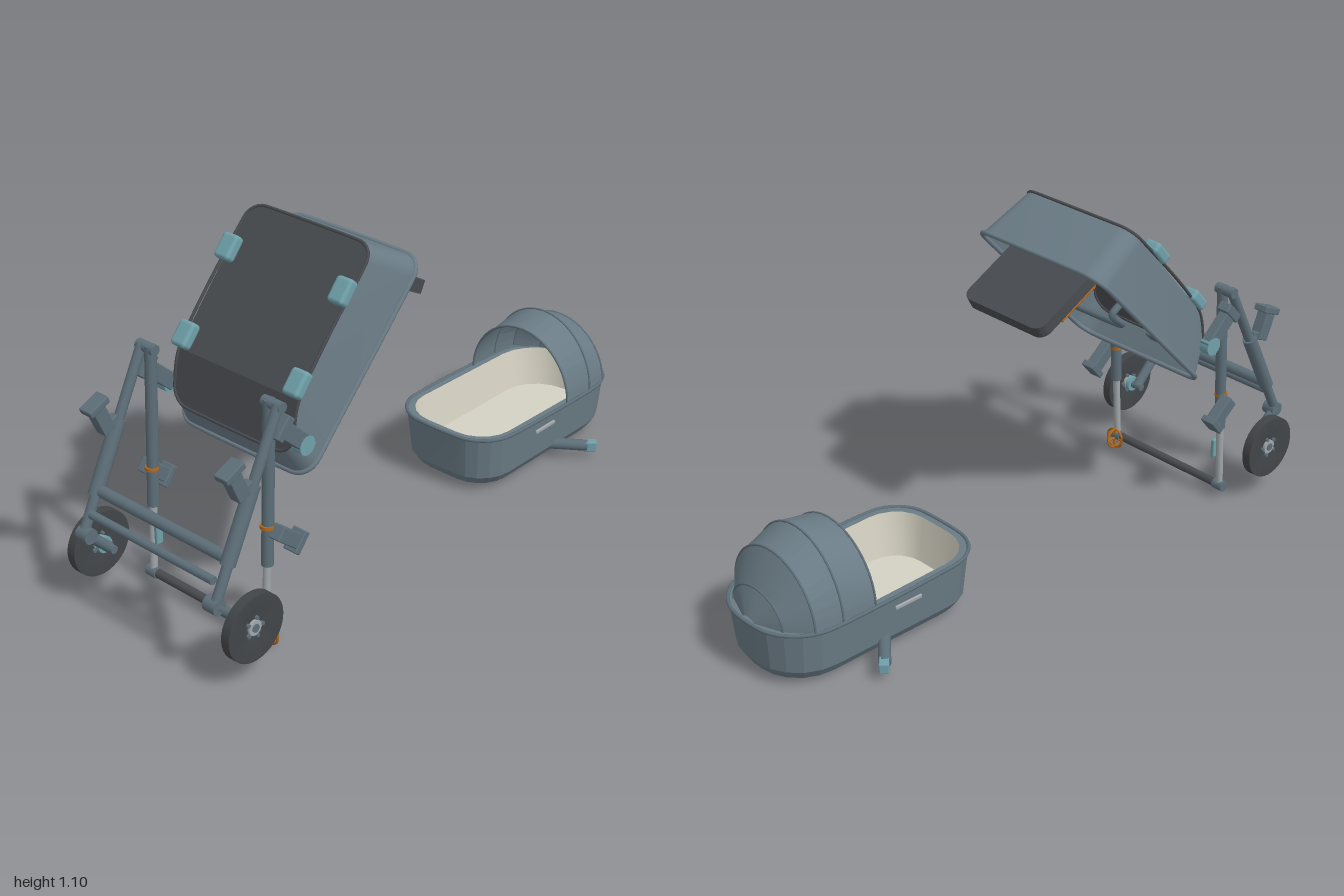
import * as THREE from 'three';
import { toCreasedNormals } from 'three/addons/utils/BufferGeometryUtils.js';
import { RoundedBoxGeometry } from 'three/addons/geometries/RoundedBoxGeometry.js';

const V = (x, y, z) => new THREE.Vector3(x, y, z);
const mat = (name, color) => {
  const m = new THREE.MeshStandardMaterial({ color, side: THREE.DoubleSide });
  m.name = name;
  return m;
};

// Half outline of a rounded plan: [position, halfWidth] pairs from end a to end b
function outline(a, b, half, ra, rb, n = 7, extra = []) {
  const pts = [];
  for (let i = 0; i <= n; i++) {
    const t = (i / n) * Math.PI / 2;
    pts.push([a + ra * (1 - Math.cos(t)), half - ra + ra * Math.sin(t)]);
  }
  for (const e of extra) pts.push([e, half]);
  for (let i = 0; i <= n; i++) {
    const t = (i / n) * Math.PI / 2;
    pts.push([b - rb + rb * Math.sin(t), half - rb + rb * Math.cos(t)]);
  }
  return pts;
}
// Full loop of points: along the +z side, back along the -z side
const loop = (half, place) => [
  ...half.map(([p, w]) => place(p, w)),
  ...half.slice().reverse().map(([p, w]) => place(p, -w)),
];

// Surface through rows of points
function loft(rows, closed = true, crease = 0.6) {
  const n = rows[0].length, pos = [], idx = [];
  rows.forEach((r) => r.forEach((p) => pos.push(p.x, p.y, p.z)));
  for (let j = 0; j < rows.length - 1; j++) {
    for (let i = 0; i < (closed ? n : n - 1); i++) {
      const k = (i + 1) % n, a = j * n + i, b = j * n + k;
      idx.push(a, b, a + n, b, b + n, a + n);
    }
  }
  const g = new THREE.BufferGeometry();
  g.setAttribute('position', new THREE.Float32BufferAttribute(pos, 3));
  g.setIndex(idx);
  return toCreasedNormals(g, crease);
}
// Cap that joins the two mirrored sides of a loop
const cap = (pts) => {
  const h = pts.length / 2;
  return loft([pts.slice(0, h), pts.slice(h).reverse()], false, 0.3);
};

export function createModel() {
  const fabric = mat('slate fabric', 0x6a7b85);
  const frame = mat('frame grey', 0x5d6e78);
  const dark = mat('dark fabric', 0x484b4f);
  const tyre = mat('tyre black', 0x424548);
  const cream = mat('cream lining', 0xd4d1c2);
  const teal = mat('teal clips', 0x6f9fa9);
  const orange = mat('orange accents', 0xb5691c);
  const silver = mat('silver metal', 0xa0a6aa);

  const model = new THREE.Group();
  const group = (name) => {
    const g = new THREE.Group();
    g.name = name;
    model.add(g);
    return g;
  };
  const add = (parent, name, geo, m) => {
    const mesh = new THREE.Mesh(geo, m);
    mesh.name = name;
    parent.add(mesh);
    return mesh;
  };
  const rod = (parent, name, a, b, r, m) => {
    const d = b.clone().sub(a);
    const mesh = add(parent, name, new THREE.CylinderGeometry(r, r, d.length(), 14), m);
    mesh.position.copy(a).addScaledVector(d, 0.5);
    mesh.quaternion.setFromUnitVectors(V(0, 1, 0), d.normalize());
  };
  const box = (parent, name, size, at, m, rz = 0, round = 0.004) => {
    const mesh = add(parent, name, new RoundedBoxGeometry(...size, 2, round), m);
    mesh.position.set(...at);
    mesh.rotation.z = rz;
    return mesh;
  };
  const tube = (parent, name, pts, r, m, closed = false, seg = 90) =>
    add(parent, name, new THREE.TubeGeometry(new THREE.CatmullRomCurve3(pts, closed, 'centripetal'), seg, r, 8, closed), m);

  // ---- Carrycot ----
  const cot = group('carrycot');
  const zc = 0.023;
  const rimY = (x) => 0.205 - 0.02 * (x - 0.245);
  const cotRing = (inset, y) => loop(
    outline(0.247 + inset, 0.996 - inset * 0.8, 0.207 - inset, 0.135 - inset * 0.6, 0.175 - inset * 0.7, 5),
    (x, w) => V(x, y ?? rimY(x), zc + w));
  const base = cotRing(0.04, 0.022);
  add(cot, 'cot body', loft([cotRing(0.004), cotRing(0.018, 0.055), base], true, 0.2), fabric);
  add(cot, 'cot base', cap(base), frame);
  add(cot, 'cot ledge', loft([cotRing(0.004), cotRing(0.028)]), fabric);
  const floor = cotRing(0.052, 0.06);
  add(cot, 'cot lining', loft([cotRing(0.028), floor]), cream);
  add(cot, 'cot mattress', cap(floor), cream);
  tube(cot, 'cot rim', cotRing(0.004), 0.006, frame, true, 140);

  // Hood arches: x, half width, top height
  const arches = [[0.68, 0.2, 0.402], [0.8, 0.203, 0.425], [0.89, 0.19, 0.382], [0.95, 0.118, 0.28], [0.984, 0.025, 0.2]]
    .map(([x, w, top]) => Array.from({ length: 19 }, (_, i) => {
      const t = (i / 18) * Math.PI;
      return V(x, 0.19 + (top - 0.19) * Math.sin(t), zc + w * Math.cos(t));
    }));
  add(cot, 'cot hood', loft(arches, false, 0.2), fabric);
  arches.slice(0, 4).forEach((a) => tube(cot, 'hood seam', a, 0.0035, frame, false, 48));

  // Carry handles and mounting arms
  for (const s of [-1, 1]) {
    box(cot, 'side handle', [0.1, 0.014, 0.008], [0.56, 0.155, zc + s * 0.202], silver);
    rod(cot, 'mounting arm', V(0.63, 0.052, zc + s * 0.17), V(0.71, 0.046, zc + s * 0.268), 0.019, frame);
    const clip = box(cot, 'mounting clip', [0.045, 0.034, 0.03], [0.717, 0.045, zc + s * 0.273], teal);
    clip.rotation.y = -s * 0.85;
  }

  // ---- Seat shell ----
  const seat = group('seat');
  const A = V(-0.29, 1.093, 0), B = V(-0.115, 1.0, 0), C = V(-0.597, 0.497, 0), D = V(-0.637, 0.575, 0), E = V(-0.6, 0.735, 0);
  const fold = 0.24;
  const seatHalf = (w, r) => outline(0, 0.7, w, r, r, 7, [fold * 0.7]).map(([p, q]) => [p / 0.7, q]);
  const rim = loop(seatHalf(0.262, 0.06), (t, w) => C.clone().lerp(B, t).setZ(w));
  const back = loop(seatHalf(0.238, 0.06), (t, w) =>
    (t < fold ? D.clone().lerp(E, t / fold) : E.clone().lerp(A, (t - fold) / (1 - fold))).setZ(w));
  add(seat, 'seat sides', loft([rim, back]), fabric);
  add(seat, 'seat back', cap(back), dark);
  tube(seat, 'seat rim', rim, 0.008, fabric, true, 140);
  tube(seat, 'back piping', back, 0.005, dark, true, 140);

  // Back clips, pivots and inner brackets on both sides
  for (const s of [-1, 1]) {
    for (const [x, y] of [[-0.405, 0.99], [-0.588, 0.778]])
      box(seat, 'back clip', [0.08, 0.038, 0.06], [x, y, s * 0.222], teal, 0.86, 0.012);
    rod(seat, 'seat pivot', V(-0.62, 0.622, s * 0.255), V(-0.62, 0.622, s * 0.288), 0.03, teal);
    box(seat, 'inner bracket', [0.045, 0.065, 0.05], [-0.46, 0.7, s * 0.198], frame, 0.8);
  }
  // Bumper bar
  const barEnd = (s) => [V(-0.44, 0.87, s * 0.155), V(-0.3, 0.805, s * 0.157), V(-0.29, 0.795, s * 0.157),
    V(-0.335, 0.75, s * 0.155), V(-0.352, 0.735, s * 0.13)];
  tube(seat, 'bumper bar', [...barEnd(-1), ...barEnd(1).reverse()], 0.012, frame);

  // Layered shade with folding ribs
  const shade = new THREE.Shape();
  loop(outline(-0.17, 0.17, 0.168, 0.004, 0.035), (p, w) => V(p, w, 0))
    .forEach((p, i) => (i ? shade.lineTo(p.x, p.y) : shade.moveTo(p.x, p.y)));
  for (const lift of [0, 0.021]) {
    const g = new THREE.ExtrudeGeometry(shade, { depth: 0.02, bevelEnabled: false }).rotateX(-Math.PI / 2);
    const m = add(seat, 'shade panel', toCreasedNormals(g, 0.5), dark);
    m.position.set(-0.14 + lift * 0.48, 0.893 + lift * 0.88, 0);
    m.rotation.z = -0.49;
  }
  const ribHub = V(-0.38, 0.85, 0);
  rod(seat, 'rib hub', V(-0.39, 0.835, 0), V(-0.37, 0.865, 0), 0.02, orange);
  rod(seat, 'shade rib', ribHub, V(-0.08, 0.855, 0), 0.008, orange);
  for (const s of [-1, 1]) {
    rod(seat, 'shade rib', ribHub, V(-0.11, 0.87, s * 0.09), 0.008, orange);
    rod(seat, 'shade rib', ribHub, V(-0.2, 0.917, s * 0.16), 0.008, orange);
    rod(seat, 'shade edge rib', V(-0.2, 0.917, s * 0.16), V(-0.07, 0.848, s * 0.16), 0.006, orange);
  }

  // ---- Chassis ----
  const chassis = group('chassis');
  for (const s of [-1, 1]) {
    const z = s * 0.235, zo = s * 0.27;
    // Legs
    rod(chassis, 'front leg upper', V(-0.71, 0.785, z), V(-0.737, 0.27, z), 0.018, frame);
    rod(chassis, 'front leg lower', V(-0.737, 0.28, z), V(-0.752, 0.04, z), 0.012, silver);
    rod(chassis, 'rear leg', V(-0.712, 0.78, zo), V(-0.975, 0.265, zo), 0.016, frame);
    rod(chassis, 'rear leg sleeve', V(-0.815, 0.58, zo), V(-0.92, 0.375, zo), 0.023, frame);
    rod(chassis, 'top joint', V(-0.71, 0.775, s * 0.215), V(-0.71, 0.775, s * 0.285), 0.017, frame);
    rod(chassis, 'foot joint', V(-0.752, 0.045, s * 0.215), V(-0.752, 0.045, s * 0.255), 0.018, frame);
    rod(chassis, 'leg ring', V(-0.733, 0.4, z), V(-0.7335, 0.39, z), 0.021, orange);

    // Seat arm and accessory brackets
    box(chassis, 'seat arm', [0.14, 0.05, 0.035], [-0.66, 0.665, zo], frame, -0.75);
    box(chassis, 'arm head', [0.03, 0.075, 0.045], [-0.705, 0.71, zo], frame, -0.75);
    box(chassis, 'rear bracket', [0.045, 0.1, 0.04], [-0.88, 0.61, zo], frame, 0.4);
    box(chassis, 'rear bracket cap', [0.075, 0.022, 0.05], [-0.897, 0.658, zo], frame, 0.4);
    box(chassis, 'rear bracket stem', [0.06, 0.025, 0.025], [-0.85, 0.58, zo], frame, 0.4);
    box(chassis, 'front bracket', [0.11, 0.045, 0.04], [-0.69, 0.355, zo], frame, -0.7);
    box(chassis, 'front bracket cap', [0.022, 0.07, 0.05], [-0.655, 0.325, zo], frame, -0.7);

    // Wheel fork
    rod(chassis, 'fork arm', V(-0.972, 0.27, zo), V(-0.885, 0.18, zo), 0.017, frame);
    rod(chassis, 'fork knuckle', V(-0.97, 0.268, s * 0.24), V(-0.97, 0.268, s * 0.285), 0.024, frame);
    rod(chassis, 'brake drum', V(-0.883, 0.178, s * 0.288), V(-0.883, 0.178, s * 0.302), 0.026, teal);

    // Wheel with dished faces
    const wheel = new THREE.Group();
    wheel.name = 'wheel';
    wheel.position.set(-0.883, 0.178, s * 0.319);
    chassis.add(wheel);
    const prof = [[0.02, 0.003], [0.098, 0.016], [0.105, 0.015], [0.105, -0.015], [0.098, -0.016], [0.02, -0.003]]
      .map((p) => new THREE.Vector2(...p));
    add(wheel, 'tyre', toCreasedNormals(new THREE.LatheGeometry(prof, 36).rotateX(Math.PI / 2), 0.5), tyre);
    rod(wheel, 'hub', V(0, 0, -0.012), V(0, 0, 0.012), 0.024, silver);
    rod(wheel, 'axle', V(0, 0, -s * 0.07), V(0, 0, s * 0.015), 0.013, frame);
    for (let i = 0; i < 5; i++) {
      const a = i * Math.PI * 0.4, x = 0.03 * Math.cos(a), y = 0.03 * Math.sin(a);
      rod(wheel, 'hub bolt', V(x, y, -0.013), V(x, y, 0.013), 0.006, frame);
    }
  }
  // Brake lever on the right front leg
  box(chassis, 'brake lever', [0.025, 0.065, 0.014], [-0.743, 0.182, -0.213], teal);

  // Crossbars
  rod(chassis, 'main crossbar', V(-0.91, 0.388, -0.26), V(-0.91, 0.388, 0.26), 0.018, frame);
  rod(chassis, 'lower crossbar', V(-0.955, 0.333, -0.25), V(-0.955, 0.333, 0.25), 0.013, frame);
  rod(chassis, 'front foot bar', V(-0.752, 0.045, -0.235), V(-0.752, 0.045, 0.235), 0.014, dark);

  // Open caster guide on the left foot
  const guide = new THREE.Group();
  guide.name = 'caster guide';
  guide.position.set(-0.739, 0.038, 0.235);
  chassis.add(guide);
  for (const ry of [0, Math.PI / 2])
    add(guide, 'guide ring', new THREE.TorusGeometry(0.034, 0.004, 8, 28), orange).rotation.y = ry;
  for (const d of [V(0.034, 0, 0), V(0, 0.034, 0), V(0, 0, 0.034)])
    rod(guide, 'guide spoke', d.clone().negate(), d, 0.004, orange);

  return model;
}
